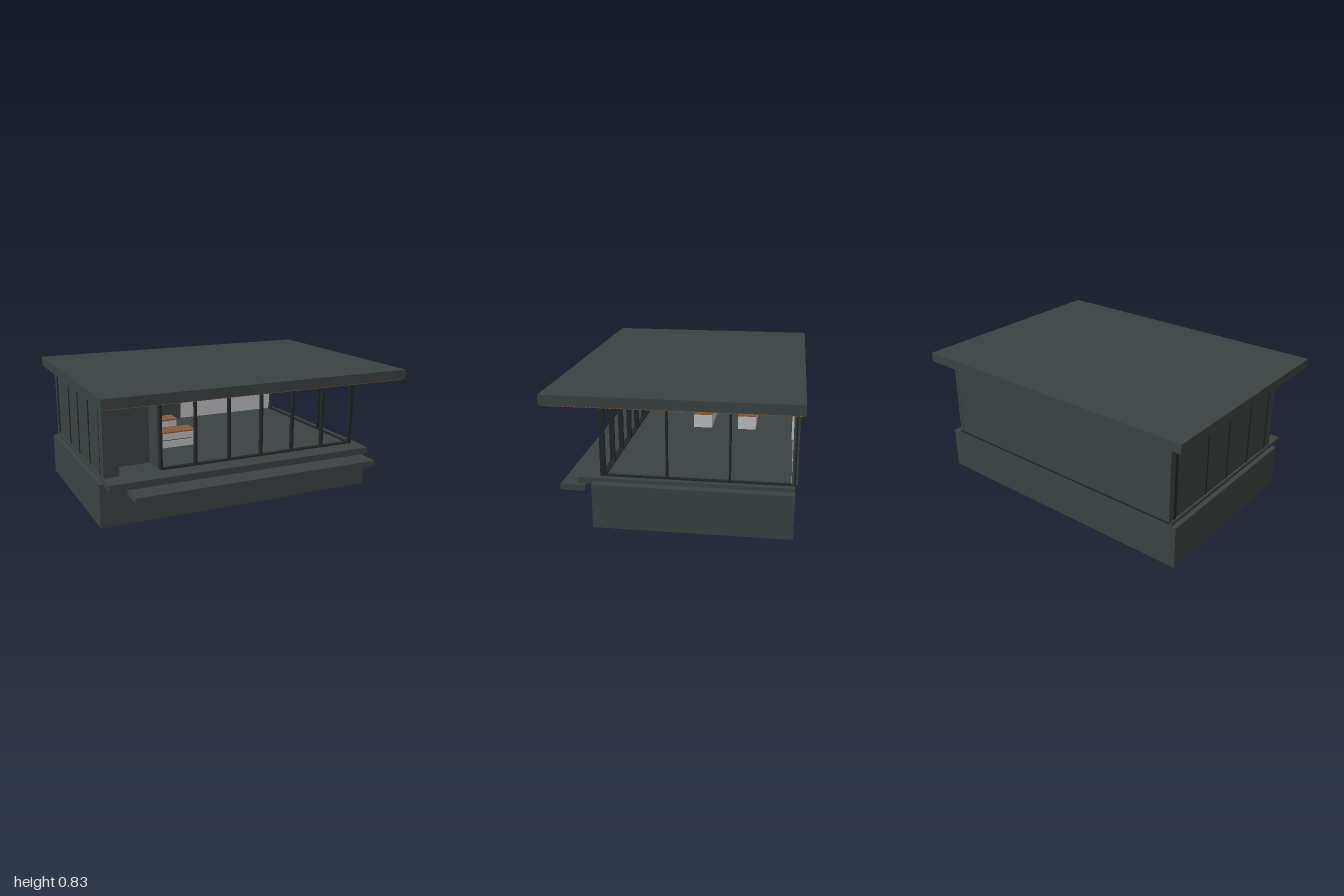
import * as THREE from 'three';

const mat = (name, color) => {
  const m = new THREE.MeshStandardMaterial({ color });
  m.name = name;
  return m;
};

export function createModel() {
  const charcoal = mat('charcoal cladding', 0x3b4241);
  const black = mat('black frame', 0x202525);
  const wood = mat('warm timber', 0x8a5a38);
  const plaster = mat('light plaster', 0xc0c0c3);
  const model = new THREE.Group();
  model.name = 'pavilionHouse';

  const group = (name) => {
    const g = new THREE.Group();
    g.name = name;
    model.add(g);
    return g;
  };
  // Box given by its low and high limits on each axis
  const box = (parent, name, material, [x0, x1], [y0, y1], [z0, z1]) => {
    const mesh = new THREE.Mesh(new THREE.BoxGeometry(x1 - x0, y1 - y0, z1 - z0), material);
    mesh.position.set((x0 + x1) / 2, (y0 + y1) / 2, (z0 + z1) / 2);
    mesh.name = name;
    parent.add(mesh);
    return mesh;
  };
  const disc = (parent, name, material, r, h, x, y, z) => {
    const mesh = new THREE.Mesh(new THREE.CylinderGeometry(r, r, h, 16), material);
    mesh.position.set(x, y, z);
    mesh.name = name;
    parent.add(mesh);
  };

  const floor = 0.292, ceiling = 0.766;
  const wallY = [floor, ceiling];

  // Plinth, deck and floating step
  const ground = group('foundation');
  box(ground, 'plinth', charcoal, [-0.96, 0.9], [0, 0.27], [-0.693, 0.48]);
  box(ground, 'deck', charcoal, [-0.93, 0.845], [0.255, floor], [-0.69, 0.58]);
  box(ground, 'step', charcoal, [-0.81, 0.83], [0.203, 0.235], [0.54, 0.69]);
  box(ground, 'stepSupport', charcoal, [-0.8, 0.82], [0.194, 0.203], [0.55, 0.68]);

  // Roof slab with a slatted timber soffit
  const roof = group('roof');
  box(roof, 'roofSlab', charcoal, [-1, 1], [0.772, 0.832], [-0.732, 0.732]);
  box(roof, 'soffitBacking', black, [-0.985, 0.985], [0.768, 0.772], [-0.717, 0.717]);
  const soffitCount = 65, soffitPitch = 1.434 / soffitCount;
  for (let i = 0; i < soffitCount; i++) {
    const z = -0.717 + i * soffitPitch;
    box(roof, 'soffitSlat', wood, [-0.985, 0.985], [0.764, 0.768], [z + 0.003, z + soffitPitch - 0.003]);
  }
  for (let i = 0; i < 8; i++) disc(roof, 'downlight', plaster, 0.011, 0.005, 0.85 - i * 0.227, 0.763, 0.56);
  for (const z of [0.19, -0.13])
    for (const x of [0.66, 0.38, 0.1, -0.18, -0.46]) disc(roof, 'downlight', plaster, 0.011, 0.005, x, 0.763, z);

  // Solid service block with a recessed entrance
  const block = group('serviceBlock');
  box(block, 'blockBody', charcoal, [-0.918, -0.575], wallY, [-0.7, 0.27]);
  box(block, 'entranceFin', charcoal, [-0.918, -0.826], wallY, [0.27, 0.446]);
  box(block, 'finEdge', charcoal, [-0.922, -0.89], wallY, [0.38, 0.45]);
  box(block, 'partition', charcoal, [-0.575, -0.565], wallY, [-0.675, 0.42]);
  box(block, 'entranceDoor', charcoal, [-0.79, -0.61], [floor, 0.74], [0.27, 0.276]);
  for (const z of [-0.33, -0.1, 0.15, 0.376])
    box(block, 'sideBatten', black, [-0.923, -0.917], wallY, [z - 0.005, z + 0.005]);
  box(block, 'cornerBatten', black, [-0.923, -0.917], wallY, [-0.66, -0.635]);

  // Back wall, dark outside and light inside
  const back = group('backWall');
  box(back, 'backCladding', charcoal, [-0.922, 0.805], wallY, [-0.704, -0.675]);
  box(back, 'innerLining', plaster, [-0.565, 0.795], wallY, [-0.675, -0.671]);
  box(back, 'backSill', black, [-0.922, 0.81], [floor, floor + 0.01], [-0.707, -0.7]);

  // Vertical slats lining the room side of the partition
  const slats = group('slatWall');
  const slatCount = 48, slatPitch = 1.045 / slatCount;
  box(slats, 'slatBacking', charcoal, [-0.565, -0.562], wallY, [-0.67, 0.38]);
  for (let i = 0; i < slatCount; i++) {
    const z = -0.665 + i * slatPitch;
    box(slats, 'wallSlat', wood, [-0.562, -0.554], wallY, [z, z + slatPitch * 0.5]);
  }

  // Open glazing frames on the front and the left side
  const frames = group('glazingFrames');
  const frontZ = [0.415, 0.447], sideX = [0.788, 0.81];
  for (let i = 0; i < 7; i++) {
    const x = -0.56 + i * 0.2272;
    box(frames, 'frontMullion', black, [x - 0.006, x + 0.006], wallY, frontZ);
  }
  for (const z of [0.442, 0.05, -0.318, -0.69])
    box(frames, 'sideMullion', black, sideX, wallY, [z - 0.006, z + 0.006]);
  box(frames, 'backCornerPost', charcoal, sideX, wallY, [-0.706, -0.672]);
  box(frames, 'frontCornerPost', black, [0.797, 0.81], wallY, frontZ);
  for (const y of [[floor, floor + 0.009], [ceiling - 0.008, ceiling]]) {
    box(frames, 'frontRail', black, [-0.565, 0.81], y, frontZ);
    box(frames, 'sideRail', black, sideX, y, [-0.7, 0.447]);
  }

  // Two low counters with timber tops
  const furniture = group('furniture');
  for (const [z0, z1] of [[-0.1, 0.028], [-0.41, -0.285]]) {
    box(furniture, 'counter', plaster, [-0.554, -0.17], [floor, 0.39], [z0, z1]);
    box(furniture, 'counterTop', wood, [-0.554, -0.16], [0.388, 0.398], [z0, z1]);
    box(furniture, 'drawerGap', black, [-0.554, -0.18], [0.342, 0.345], [z1, z1 + 0.002]);
  }

  // Dark hearth panel with a thin flue against the back wall
  box(furniture, 'hearthSurround', plaster, [-0.16, 0.012], [floor, 0.65], [-0.671, -0.662]);
  box(furniture, 'hearthPanel', charcoal, [-0.162, 0.013], [floor, 0.651], [-0.662, -0.658]);
  disc(furniture, 'flue', black, 0.003, ceiling - 0.65, -0.045, (ceiling + 0.65) / 2, -0.665);

  return model;
}
